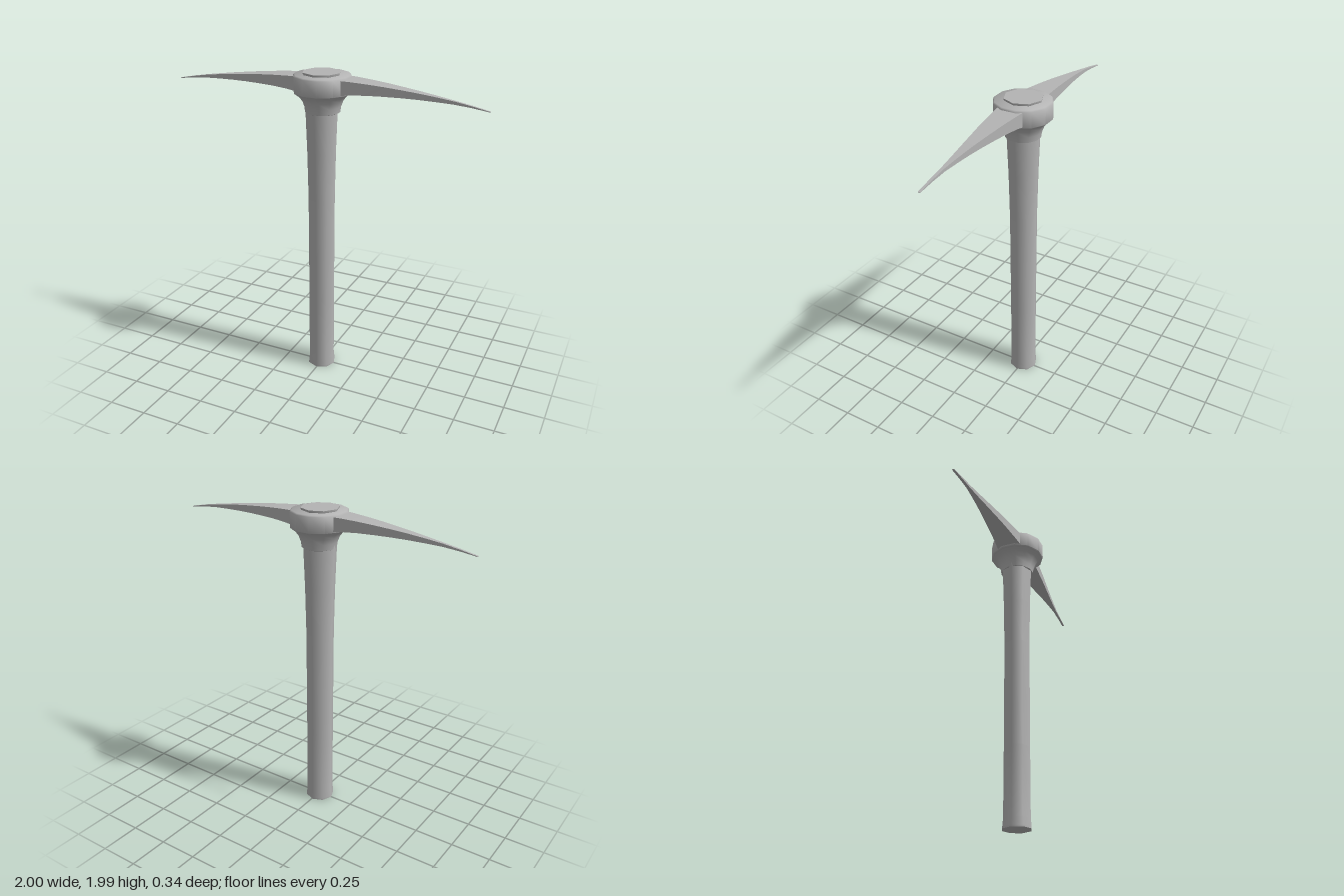
import * as THREE from 'three';
import { toCreasedNormals } from 'three/addons/utils/BufferGeometryUtils.js';

const grey = new THREE.MeshStandardMaterial({ color: 0xb4b4b4 });
grey.name = 'grey';

function addMesh(parent, name, geometry) {
  const mesh = new THREE.Mesh(toCreasedNormals(geometry, 0.9), grey);
  mesh.name = name;
  parent.add(mesh);
  return mesh;
}

// Turned part from [radius, height] pairs, listed from bottom to top
function turned(profile, sides, start = 0) {
  const points = profile.map(([r, y]) => new THREE.Vector2(r, y));
  return new THREE.LatheGeometry(points, sides, start);
}

// Tapered blade along +x from rectangular sections [x, bottom, top, half width]
function bladeGeometry(sections) {
  const positions = [];
  const index = [];
  for (const [x, bottom, top, w] of sections) {
    positions.push(x, bottom, w, x, bottom, -w, x, top, -w, x, top, w);
  }
  for (let i = 0; i < sections.length - 1; i++) {
    for (let j = 0; j < 4; j++) {
      const a = i * 4 + j;
      const b = i * 4 + (j + 1) % 4;
      index.push(a, b, a + 4, b, b + 4, a + 4);
    }
  }
  const e = (sections.length - 1) * 4;
  index.push(e, e + 1, e + 2, e, e + 2, e + 3);
  const geometry = new THREE.BufferGeometry();
  geometry.setAttribute('position', new THREE.Float32BufferAttribute(positions, 3));
  geometry.setIndex(index);
  return geometry;
}

export function createModel() {
  const group = new THREE.Group();
  group.name = 'pickaxe';

  // Eight-sided handle, flared at the foot and swelling towards the head
  const handle = addMesh(group, 'handle', turned([
    [0, 0], [0.092, 0], [0.092, 0.012], [0.087, 0.06], [0.086, 0.5], [0.087, 1.2],
    [0.093, 1.5], [0.102, 1.75], [0.104, 1.87],
  ], 8));
  handle.position.x = -0.005;

  // End of the handle showing above the head
  const cap = addMesh(group, 'handleTop', turned([
    [0.105, 1.96], [0.117, 1.982], [0.117, 1.987], [0, 1.987],
  ], 8));
  cap.position.x = -0.005;

  // Twelve-sided hub with a flared collar beneath it
  const turn = Math.PI / 12;
  addMesh(group, 'collar', turned([
    [0.095, 1.745], [0.107, 1.75], [0.112, 1.785], [0.125, 1.82], [0.143, 1.845], [0.166, 1.862],
  ], 12, turn));
  addMesh(group, 'hub', turned([
    [0.1, 1.862], [0.166, 1.862], [0.176, 1.87], [0.176, 1.965], [0.168, 1.973], [0, 1.973],
  ], 12, turn));

  // Two matching drooping blades
  const blade = bladeGeometry([
    [0.12, 1.872, 1.962, 0.084], [0.2, 1.882, 1.959, 0.074], [0.3, 1.888, 1.953, 0.062],
    [0.4, 1.89, 1.945, 0.051], [0.5, 1.89, 1.935, 0.039], [0.6, 1.888, 1.924, 0.028],
    [0.7, 1.884, 1.911, 0.018], [0.8, 1.879, 1.897, 0.01], [0.9, 1.87, 1.88, 0.008],
    [1, 1.857, 1.86, 0.007],
  ]);
  addMesh(group, 'leftBlade', blade);
  addMesh(group, 'rightBlade', blade).rotation.y = Math.PI;

  return group;
}
